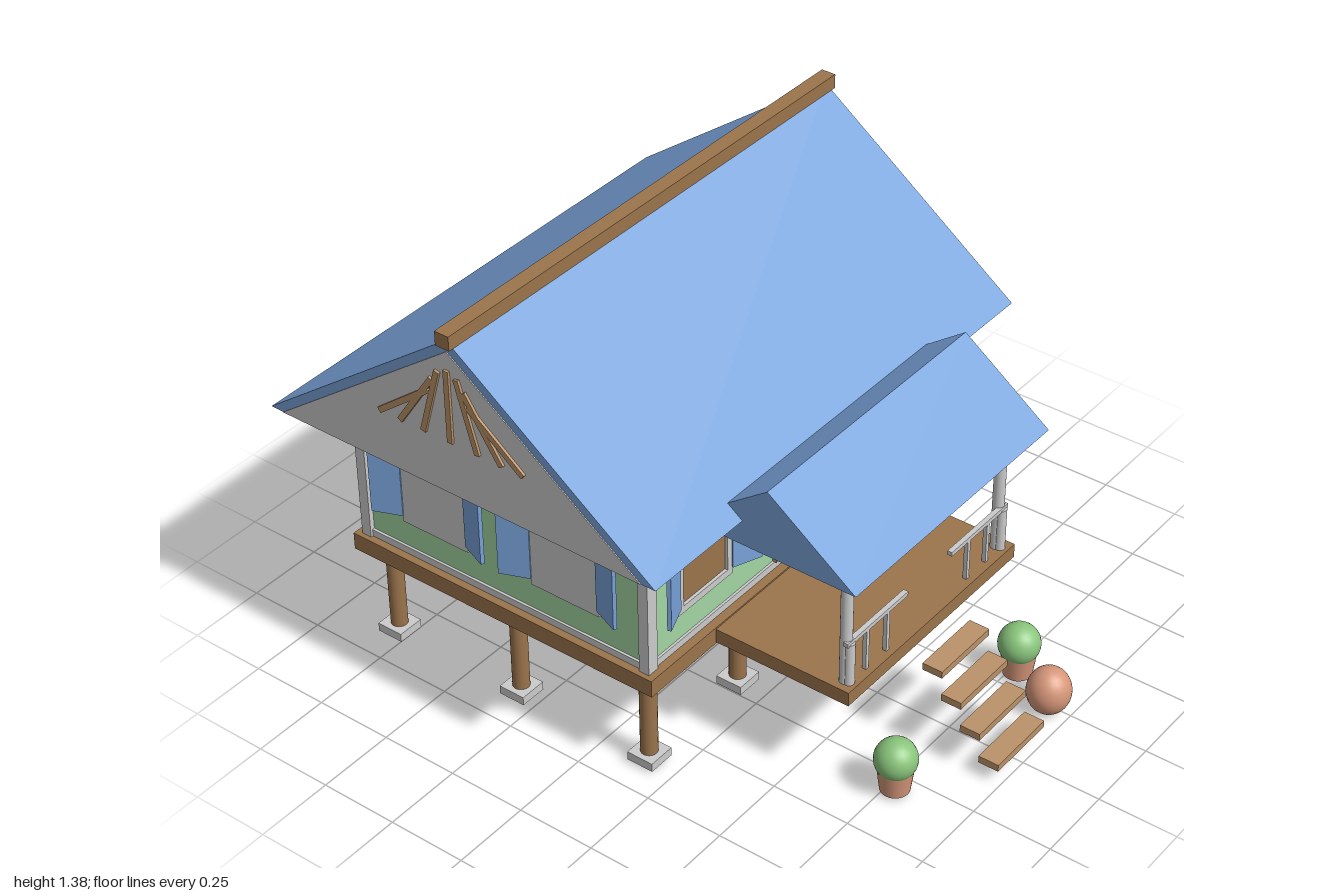
import * as THREE from 'three';

const mat = (color, extra = {}) => new THREE.MeshStandardMaterial({ color, ...extra });
const GREY = mat(0xcccccc), BLUE = mat(0x79a3da), GREEN = mat(0xa3d6a3), BROWN = mat(0x9b744c),
  WOOD = mat(0xbb9369), CLAY = mat(0xd6977a), LEAF = mat(0x8ac57c);
const ZC = -0.318; // middle of the house in z

function add(parent, name, geo, material, x = 0, y = 0, z = 0) {
  const m = new THREE.Mesh(geo, material);
  m.name = name;
  m.position.set(x, y, z);
  parent.add(m);
  return m;
}

// box given by its limits
function box(parent, name, material, x0, x1, y0, y1, z0, z1) {
  return add(parent, name, new THREE.BoxGeometry(x1 - x0, y1 - y0, z1 - z0), material,
    (x0 + x1) / 2, (y0 + y1) / 2, (z0 + z1) / 2);
}

const cyl = (rTop, rBottom, h, n = 20) => new THREE.CylinderGeometry(rTop, rBottom, h, n);

function group(parent, name) {
  const g = new THREE.Group();
  g.name = name;
  parent.add(g);
  return g;
}

// triangular prism running along x
function prism(parent, name, material, halfX, halfZ, yBase, yTop, z) {
  const s = new THREE.Shape([new THREE.Vector2(-halfZ, 0), new THREE.Vector2(halfZ, 0),
    new THREE.Vector2(0, yTop - yBase)]);
  const geo = new THREE.ExtrudeGeometry(s, { depth: 2 * halfX, bevelEnabled: false });
  geo.translate(0, 0, -halfX).rotateY(Math.PI / 2);
  return add(parent, name, geo, material, 0, yBase, z);
}

// window facing +z with two half-open shutters
function makeWindow(parent, x, z, turn, glazed) {
  const g = group(parent, 'window');
  g.position.set(x, 0.634, z);
  g.rotation.y = turn;
  const w = 0.121, h = 0.134, d = 0.016;
  if (glazed) {
    const rect = (c, a, b) => c.moveTo(-a, -b).lineTo(a, -b).lineTo(a, b).lineTo(-a, b).closePath();
    const frame = rect(new THREE.Shape(), w, h);
    frame.holes.push(rect(new THREE.Path(), 0.099, 0.111));
    add(g, 'windowFrame', new THREE.ExtrudeGeometry(frame, { depth: d, bevelEnabled: false }), GREY);
    box(g, 'windowPane', BROWN, -0.1, 0.1, -0.112, 0.112, -0.005, 0.006);
  } else {
    box(g, 'windowPanel', GREY, -w, w, -h, h, 0, d);
  }
  for (const s of [-1, 1]) {
    const hinge = group(g, 'shutterHinge');
    hinge.position.set(s * w, 0, 0.01);
    hinge.rotation.y = -s * 0.38;
    box(hinge, 'shutter', BLUE, s > 0 ? 0 : -0.095, s > 0 ? 0.095 : 0, -0.111, 0.111, 0, 0.012);
  }
}

export function createModel() {
  const root = new THREE.Group();
  root.name = 'stiltHouse';

  // piles on footings
  const piles = group(root, 'piles');
  for (const x of [-0.623, -0.212, 0.212, 0.623]) {
    for (const z of [0.155, -0.315, -0.785]) {
      add(piles, 'pile', cyl(0.026, 0.026, 0.29), BROWN, x, 0.18, z);
      add(piles, 'footing', new THREE.BoxGeometry(0.088, 0.028, 0.088), GREY, x, 0.025, z);
    }
  }

  // floors
  box(root, 'mainFloor', BROWN, -0.7, 0.7, 0.323, 0.379, -0.865, 0.23);
  box(root, 'porchFloor', BROWN, -0.411, 0.411, 0.328, 0.374, 0.2, 0.682);

  // walls with trim and corner posts
  const body = group(root, 'body');
  const wx = 0.668, wz = 0.512;
  box(body, 'walls', GREEN, -wx, wx, 0.375, 0.85, ZC - wz, ZC + wz);
  for (const [y0, y1] of [[0.379, 0.402], [0.828, 0.852]]) {
    box(body, 'wallTrim', GREY, -wx - 0.008, wx + 0.008, y0, y1, ZC - wz - 0.008, ZC + wz + 0.008);
  }
  for (const sx of [-1, 1]) {
    for (const sz of [-1, 1]) {
      add(body, 'cornerPost', new THREE.BoxGeometry(0.04, 0.474, 0.034), GREY,
        sx * 0.664, 0.615, ZC + sz * 0.51);
    }
  }
  box(body, 'door', WOOD, -0.1, 0.1, 0.402, 0.79, 0.18, 0.208);

  // windows: two in front, one behind, two on each side
  const windows = group(root, 'windows');
  for (const x of [-0.429, 0.429]) makeWindow(windows, x, ZC + wz, 0, true);
  makeWindow(windows, 0, ZC - wz, Math.PI, true);
  for (const s of [-1, 1]) {
    for (const z of [-0.083, -0.555]) makeWindow(windows, s * wx, z, s * Math.PI / 2, false);
  }

  // main roof, gables and ridge
  const roof = group(root, 'roof');
  prism(roof, 'mainRoof', BLUE, 0.84, 0.682, 0.85, 1.353, ZC);
  prism(roof, 'gables', GREY, 0.843, 0.635, 0.851, 1.318, ZC);
  box(roof, 'ridgeBeam', BROWN, -0.856, 0.856, 1.336, 1.381, ZC - 0.024, ZC + 0.024);

  // fan of slats on each gable: [bottom z offset, top z offset, top y]
  for (const sx of [-1, 1]) {
    for (const [b, t, top] of [[0, 0, 1.26], [0.095, 0.033, 1.245], [0.178, 0.055, 1.212], [0.252, 0.068, 1.172]]) {
      for (const sz of b ? [-1, 1] : [1]) {
        const dy = top - 1.028, dz = (t - b) * sz;
        const slat = add(roof, 'gableSlat', new THREE.BoxGeometry(0.012, Math.hypot(dy, dz), 0.018), WOOD,
          sx * 0.845, (top + 1.028) / 2, ZC + sz * (b + t) / 2);
        slat.rotation.x = Math.atan2(dz, dy);
      }
    }
  }

  // porch roof, columns and railings
  const porch = group(root, 'porch');
  prism(porch, 'porchRoof', BLUE, 0.467, 0.29, 0.77, 0.983, 0.445);
  for (const s of [-1, 1]) {
    add(porch, 'column', cyl(0.018, 0.018, 0.4), GREY, s * 0.372, 0.573, 0.643);
    add(porch, 'columnBase', cyl(0.016, 0.016, 0.14), GREY, s * 0.372, 0.444, 0.655);
    add(porch, 'handrail', new THREE.BoxGeometry(0.285, 0.014, 0.016), GREY, s * 0.25, 0.517, 0.655);
    for (const x of [0.198, 0.295]) {
      add(porch, 'baluster', new THREE.BoxGeometry(0.013, 0.14, 0.013), GREY, s * x, 0.442, 0.655);
    }
  }

  // floating steps
  const steps = group(root, 'steps');
  for (let i = 0; i < 4; i++) {
    add(steps, 'step', new THREE.BoxGeometry(0.235, 0.023, 0.066), WOOD, 0, 0.295 - i * 0.079, 0.759 + i * 0.0662);
  }

  // potted shrubs and a round jar
  const garden = group(root, 'garden');
  for (const s of [-1, 1]) {
    add(garden, 'pot', cyl(0.054, 0.044, 0.078, 24), CLAY, s * 0.312, 0.05, 0.778);
    add(garden, 'shrub', new THREE.SphereGeometry(0.064, 24, 16), LEAF, s * 0.312, 0.12, 0.778);
  }
  add(garden, 'jar', new THREE.SphereGeometry(0.067, 24, 16), CLAY, 0.232, 0.077, 0.933).scale.y = 1.13;

  return root;
}
